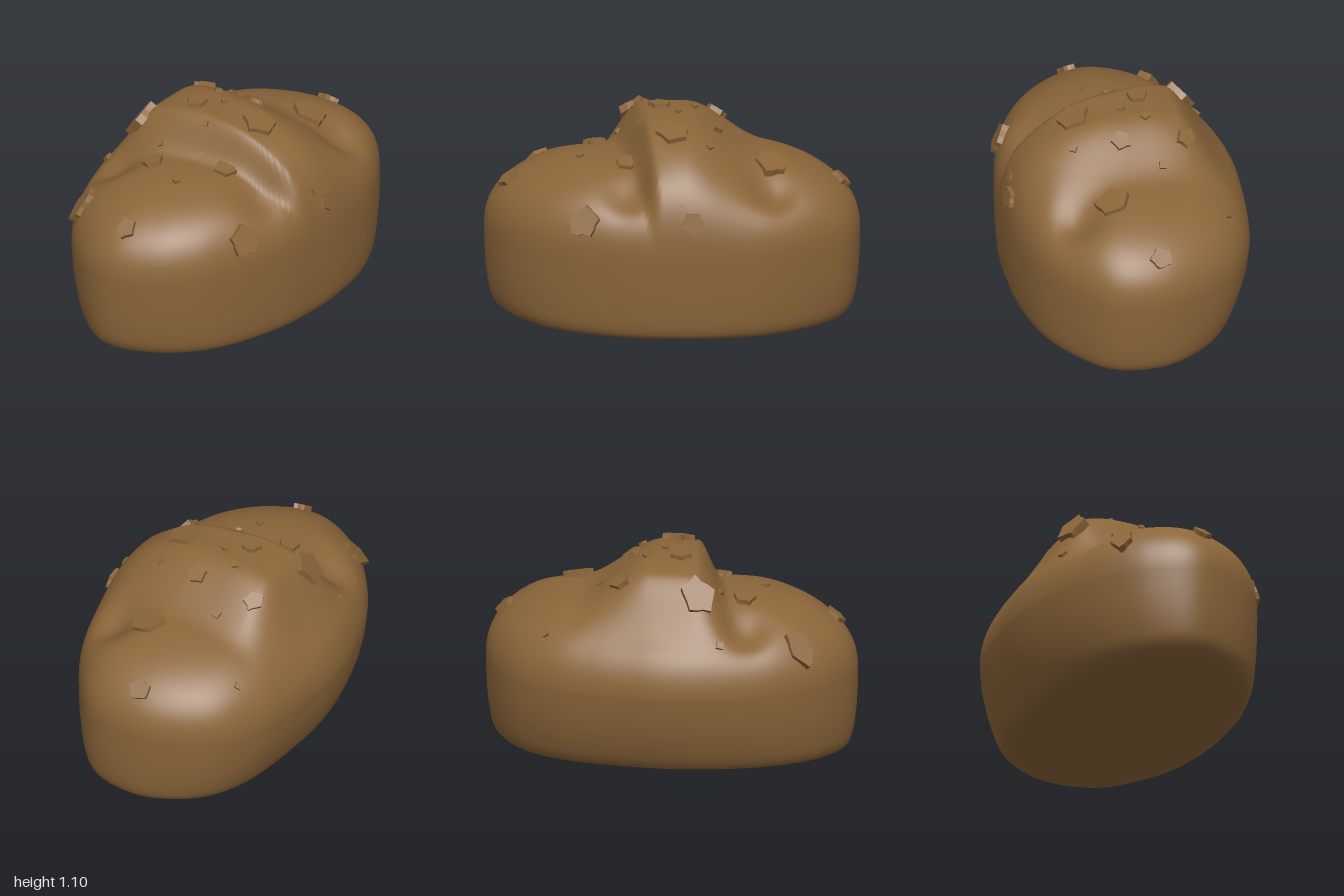
import * as THREE from 'three';

// Outline radius every 15 degrees, from +x towards +z
const RIM = [.637, .652, .69, .762, .855, .943, 1, .943, .846, .757, .695, .664,
  .655, .667, .72, .812, .902, .957, .995, .985, .883, .787, .705, .657];
const RIM_Y = 0.45;
const step = THREE.MathUtils.smoothstep;

// Smooth periodic interpolation of the outline
function rimRadius(angle) {
  const n = RIM.length;
  const u = ((angle / (Math.PI * 2)) * n % n + n) % n;
  const i = Math.floor(u), t = u - i;
  const [a, b, c, d] = [-1, 0, 1, 2].map(k => RIM[(i + k + n) % n]);
  return b + 0.5 * t * (c - a + t * (2 * a - 5 * b + 4 * c - d + t * (3 * (b - c) + d - a)));
}

// Ceiling of the crust: low ends, a raised middle lobe with a steep front, soft dents
function ceiling(x, z) {
  const front = step(0.3 - 0.32 * x - z, 0, Math.max(0.06, 0.165 - 0.2 * x));
  const lobe = front * step(z + 0.48, 0, 0.42)
    * step(x, -0.57, -0.3) * (1 - 0.3 * step(x, 0, 0.6));
  let y = 0.92 - 0.052 * Math.exp(-(x * x + z * z) / 0.2) + 0.215 * lobe;
  for (const [dx, dz, r, depth] of [[-.36, .46, .13, .1], [.36, -.55, .13, .11], [.47, .23, .13, .08]]) {
    y -= depth * Math.exp(-((x - dx) ** 2 + (z - dz) ** 2) / (r * r));
  }
  return y;
}

// Point on the upper crust; r runs from 0 in the middle to 1 at the rim.
// The shoulder is fuller on the +x side.
function crustPoint(angle, r) {
  const R = rimRadius(angle) * r;
  const x = R * Math.cos(angle), z = R * Math.sin(angle);
  const p = 2.45 + 0.2 * Math.cos(angle);
  const h = Math.max(0, 1 - r ** p) ** (1 / p);
  return new THREE.Vector3(x, RIM_Y + (ceiling(x, z) - RIM_Y) * h, z);
}

// Point on the lower wall, leaning inwards on the -x side
function wallPoint(angle, r, y) {
  const R = rimRadius(angle) * r;
  let x = R * Math.cos(angle);
  if (x < 0) x *= 1 - 0.18 * (1 - y / RIM_Y) ** 1.6;
  return new THREE.Vector3(x, y, R * Math.sin(angle));
}

function loafGeometry() {
  const around = 180, domeRings = 64;
  const wall = [[0, 0.004], [.45, .004], [.8, .005], [.87, .008], [.905, .015], [.932, .028], [.95, .046],
    [.964, .075], [.974, .11], [.984, .17], [.992, .24], [.998, .34]];
  const rings = wall.map(([r, y]) => a => wallPoint(a, r, y));
  for (let j = 0; j <= domeRings; j++) {
    const r = Math.cos((j / domeRings) * Math.PI / 2) ** 0.8;
    rings.push(a => crustPoint(a, j === domeRings ? 0 : r));
  }
  const positions = [], index = [];
  rings.forEach((ring, j) => {
    for (let i = 0; i < around; i++) {
      positions.push(...ring((i / around) * Math.PI * 2).toArray());
      if (j === rings.length - 1) continue;
      const a = j * around + i, b = j * around + (i + 1) % around;
      index.push(a, a + around, b, b, a + around, b + around);
    }
  });
  const g = new THREE.BufferGeometry();
  g.setAttribute('position', new THREE.Float32BufferAttribute(positions, 3));
  g.setIndex(index);
  g.computeVertexNormals();
  return g;
}

// Seeded pseudo-random numbers
function seeded(seed) {
  let s = seed * 7919 + 17;
  return () => (s = (s * 16807) % 2147483647) / 2147483647;
}

// Ragged flat flake, extruded along +z
function flakeGeometry(width, length, seed) {
  const rand = seeded(seed);
  const small = width < 0.06;
  const sides = small ? 4 : 15;
  const depth = small ? 0.03 : 0.045;
  const spin = rand() * Math.PI;
  const points = [];
  for (let i = 0; i < sides; i++) {
    const a = spin + (i / sides) * Math.PI * 2;
    const k = small ? 0.62 + 0.08 * rand() : 0.45 + 0.07 * Math.cos((a - spin) * 5) + 0.07 * rand();
    points.push(new THREE.Vector2(Math.cos(a) * k * width, Math.sin(a) * k * length));
  }
  const g = new THREE.ExtrudeGeometry(new THREE.Shape(points), { depth, bevelEnabled: false });
  return g.translate(0, 0, -depth * 0.5);
}

// x, z, width, length of each flake
const FLAKES = [
  [-.02, -.89, .11, .11], [-.45, -.6, .035, .04], [.155, -.53, .18, .16], [-.16, -.35, .04, .04],
  [-.31, -.22, .09, .11], [.04, -.22, .1, .1], [.29, -.2, .035, .035], [-.12, -.11, .04, .035],
  [-.01, -.03, .035, .03], [.25, -.01, .17, .16], [-.115, .07, .1, .11], [-.38, .205, .16, .2],
  [.03, .17, .03, .03], [.22, .235, .11, .11], [-.18, .295, .03, .03], [-.5, .345, .04, .04],
  [-.13, .415, .1, .11], [.095, .49, .035, .035], [.535, .455, .16, .16], [-.335, .745, .12, .2],
  [.07, .865, .09, .11], [.635, -.13, .11, .11], [.595, -.05, .035, .035],
];

export function createModel() {
  const model = new THREE.Group();
  model.name = 'breadLoaf';
  const crust = new THREE.MeshStandardMaterial({ color: 0x8b6539 });
  crust.name = 'brownCrust';

  const loaf = new THREE.Mesh(loafGeometry(), crust);
  loaf.name = 'loaf';
  model.add(loaf);

  // Flakes lying on the crust, turned to face along its normal
  const flakes = new THREE.Group();
  flakes.name = 'crustFlakes';
  FLAKES.forEach(([x, z, width, length], i) => {
    const angle = Math.atan2(z, x);
    const r = Math.min(0.97, Math.hypot(x, z) / rimRadius(angle));
    const p = crustPoint(angle, r);
    const e = 0.02;
    const alongAngle = crustPoint(angle + e, r).sub(crustPoint(angle - e, r));
    const alongRadius = crustPoint(angle, r + e).sub(crustPoint(angle, r - e));
    const normal = alongAngle.cross(alongRadius).normalize();
    const flake = new THREE.Mesh(flakeGeometry(width, length, i + 1), crust);
    flake.name = `flake${i + 1}`;
    flake.position.copy(p);
    flake.quaternion.setFromUnitVectors(new THREE.Vector3(0, 0, 1), normal);
    flakes.add(flake);
  });
  model.add(flakes);
  return model;
}
